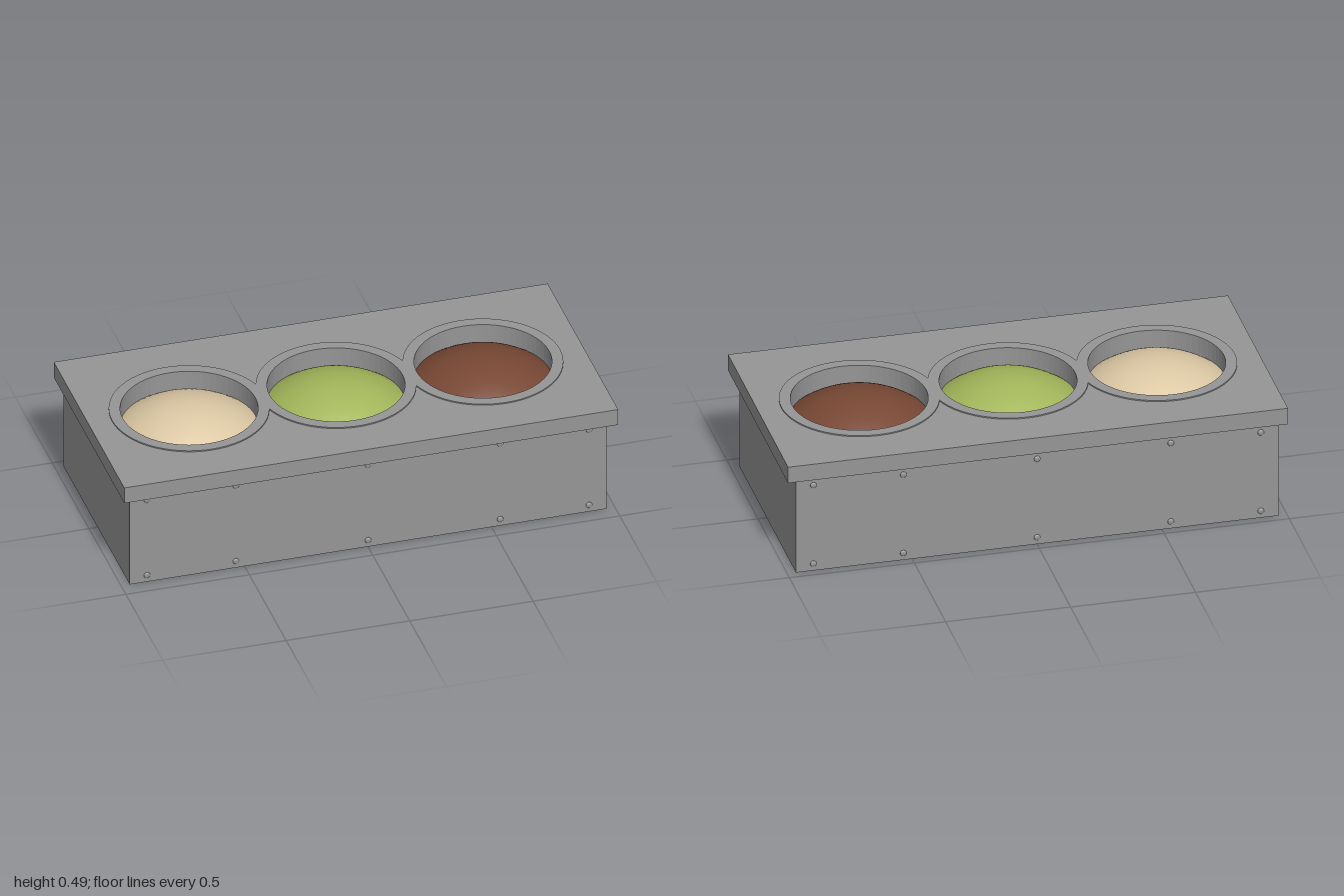
import * as THREE from 'three';

const mat = (name, color, side = THREE.FrontSide) => {
  const m = new THREE.MeshStandardMaterial({ color, side });
  m.name = name;
  return m;
};

export function createModel() {
  const group = new THREE.Group();
  const grey = mat('grey metal', 0x969696, THREE.DoubleSide);
  const dark = mat('dark base', 0x352d26);
  const fillings = [
    ['creamFilling', mat('cream', 0xdcc8a4)],
    ['greenFilling', mat('green', 0xa3b65a)],
    ['brownFilling', mat('brown', 0x784834)],
  ];

  const add = (name, geometry, material, x = 0, y = 0, z = 0) => {
    const mesh = new THREE.Mesh(geometry, material);
    mesh.name = name;
    mesh.position.set(x, y, z);
    group.add(mesh);
    return mesh;
  };

  const spacing = 0.595, holeR = 0.268, ringR = 0.312;
  const lidTop = 0.475, lidBottom = 0.405, bodyZ = -0.015;
  const centres = [-spacing, 0, spacing];

  // Body: four walls around a slightly recessed dark base
  const w = 1.93, d = 0.9, t = 0.03;
  for (const s of [-1, 1]) {
    add(s > 0 ? 'frontWall' : 'backWall', new THREE.BoxGeometry(w, lidBottom, t),
      grey, 0, lidBottom / 2, bodyZ + s * (d - t) / 2);
    add(s > 0 ? 'leftWall' : 'rightWall', new THREE.BoxGeometry(t, lidBottom, d - 2 * t),
      grey, s * (w - t) / 2, lidBottom / 2, bodyZ);
  }
  add('basePlate', new THREE.BoxGeometry(w - 2 * t, 0.01, d - 2 * t), dark, 0, 0.008, bodyZ);

  // Lid slab with three round openings
  const slab = new THREE.Shape([[-1, -0.479], [1, -0.479], [1, 0.479], [-1, 0.479]]
    .map(([x, y]) => new THREE.Vector2(x, y)));
  for (const x of centres) {
    const hole = new THREE.Path();
    hole.absarc(x, 0, holeR, 0, Math.PI * 2, true);
    slab.holes.push(hole);
  }
  const lid = new THREE.ExtrudeGeometry(slab, { depth: lidTop - lidBottom, bevelEnabled: false, curveSegments: 32 });
  lid.rotateX(-Math.PI / 2);
  add('lid', lid, grey, 0, lidBottom, 0);

  // Raised rims, well walls and domed fillings
  const rimShape = new THREE.Shape();
  rimShape.absarc(0, 0, ringR, 0, Math.PI * 2, false);
  const rimHole = new THREE.Path();
  rimHole.absarc(0, 0, holeR, 0, Math.PI * 2, true);
  rimShape.holes.push(rimHole);
  const rim = new THREE.ExtrudeGeometry(rimShape, { depth: 0.005, bevelEnabled: false, curveSegments: 32 });
  rim.rotateX(-Math.PI / 2);
  const well = new THREE.CylinderGeometry(holeR, holeR, 0.06, 64, 1, true);
  const domeR = 0.44;
  const dome = new THREE.SphereGeometry(domeR, 64, 16, 0, Math.PI * 2, 0, Math.asin(holeR / domeR));

  centres.forEach((x, i) => {
    add('rim', rim, grey, x, lidTop, 0);
    add('wellWall', well, grey, x, lidBottom - 0.03, 0);
    add(fillings[i][0], dome, fillings[i][1], x, 0.49 - domeR, 0);
  });

  // Round-headed screws on the front and back walls
  const screw = new THREE.SphereGeometry(0.013, 12, 6, 0, Math.PI * 2, 0, Math.PI / 2);
  screw.scale(1, 0.45, 1);
  screw.rotateX(Math.PI / 2);
  for (const s of [-1, 1])
    for (const y of [0.03, 0.375])
      for (const x of [-0.895, -0.535, 0, 0.535, 0.895]) {
        const head = add('screw', screw, grey, x, y, bodyZ + s * d / 2);
        if (s < 0) head.rotation.y = Math.PI;
      }

  return group;
}
